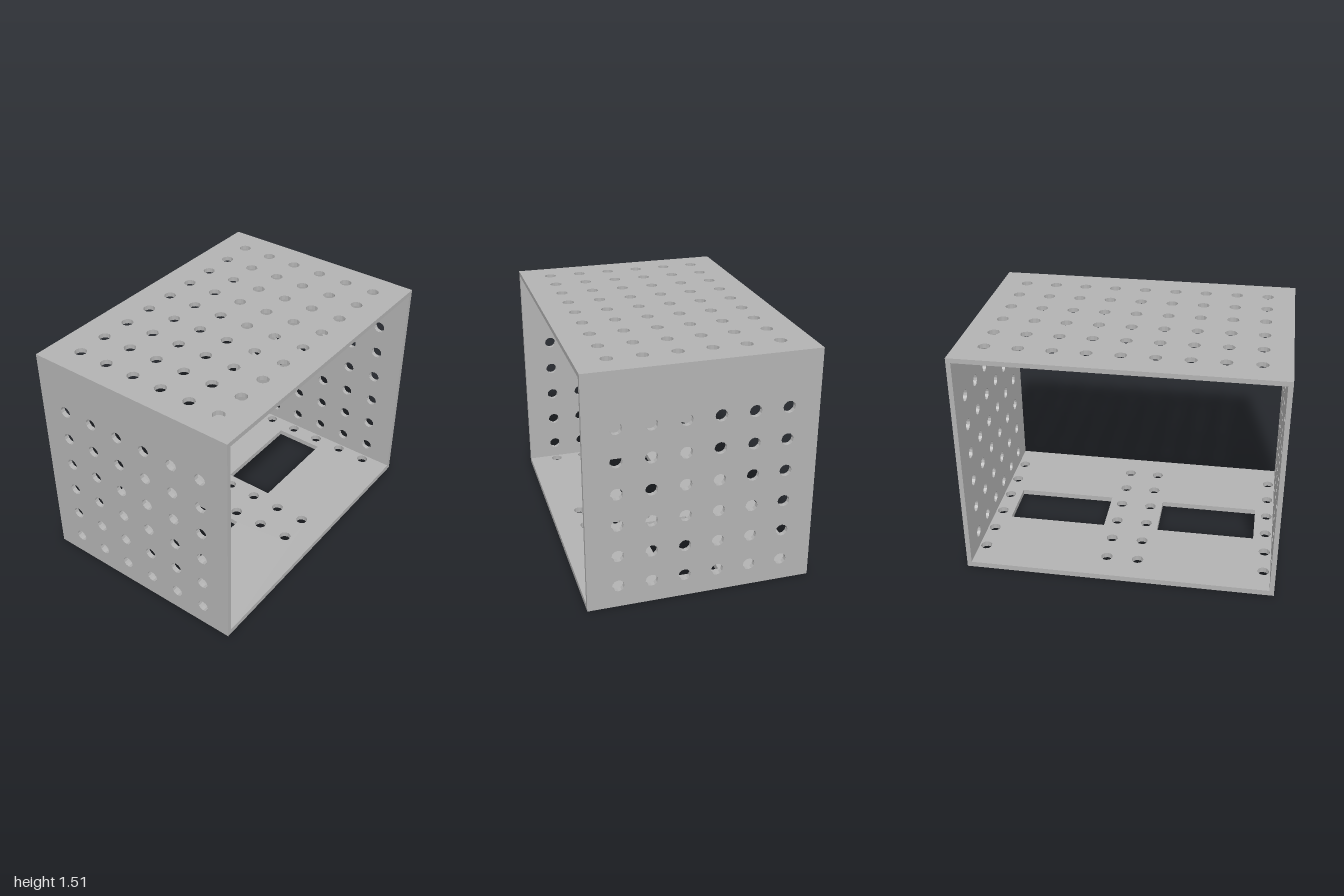
import * as THREE from 'three';

const W = 1.41, H = 1.515, L = 2;   // width (x), height (y), length (z)
const T = 0.03, FLOOR_T = 0.036;    // plate thicknesses
const PITCH = 0.2055, R = 0.038;    // hole spacing and radius

// count positions centred on zero
const centred = (count) => Array.from({ length: count }, (_, i) => (i - (count - 1) / 2) * PITCH);

// flat plate with round holes and rectangular windows, thickness along +z
function plate(x0, y0, x1, y1, thickness, xs, ys, windows = []) {
  const rect = (Type, a, b, c, d) => new Type([
    new THREE.Vector2(a, b), new THREE.Vector2(c, b),
    new THREE.Vector2(c, d), new THREE.Vector2(a, d),
  ]);
  const shape = rect(THREE.Shape, x0, y0, x1, y1);
  for (const x of xs) {
    for (const y of ys) {
      const hole = new THREE.Path();
      hole.absarc(x, y, R, 0, Math.PI * 2, true);
      shape.holes.push(hole);
    }
  }
  for (const w of windows) shape.holes.push(rect(THREE.Path, ...w));
  return new THREE.ExtrudeGeometry(shape, { depth: thickness, bevelEnabled: false, curveSegments: 6 });
}

export function createModel() {
  const group = new THREE.Group();
  const grey = new THREE.MeshStandardMaterial({ color: 0xb3b3b3 });
  grey.name = 'grey';
  const add = (name, geometry) => {
    const mesh = new THREE.Mesh(geometry, grey);
    mesh.name = name;
    group.add(mesh);
  };

  const columns = centred(6);
  const inner = L / 2 - T;

  // end walls, full height, six rows of holes starting low
  const wallRows = Array.from({ length: 6 }, (_, i) => 0.145 + i * PITCH);
  const wall = () => plate(-W / 2, 0, W / 2, H, T, columns, wallRows);
  add('frontWall', wall().translate(0, 0, inner));
  add('backWall', wall().translate(0, 0, -L / 2));

  // top plate with a full grid of holes
  const top = plate(-W / 2, -inner, W / 2, inner, T, columns, centred(9));
  add('topPlate', top.rotateX(-Math.PI / 2).translate(0, H - T, 0));

  // floor with two windows, two middle rows and one row at each end
  const near = PITCH / 2, far = PITCH * 4.5;
  const floor = plate(-W / 2, -inner, W / 2, inner, FLOOR_T, columns, [-far, -near, near, far],
    [[-0.17, -0.845, 0.17, -0.185], [-0.17, 0.185, 0.17, 0.845]]);
  add('floorPlate', floor.rotateX(-Math.PI / 2));

  return group;
}
